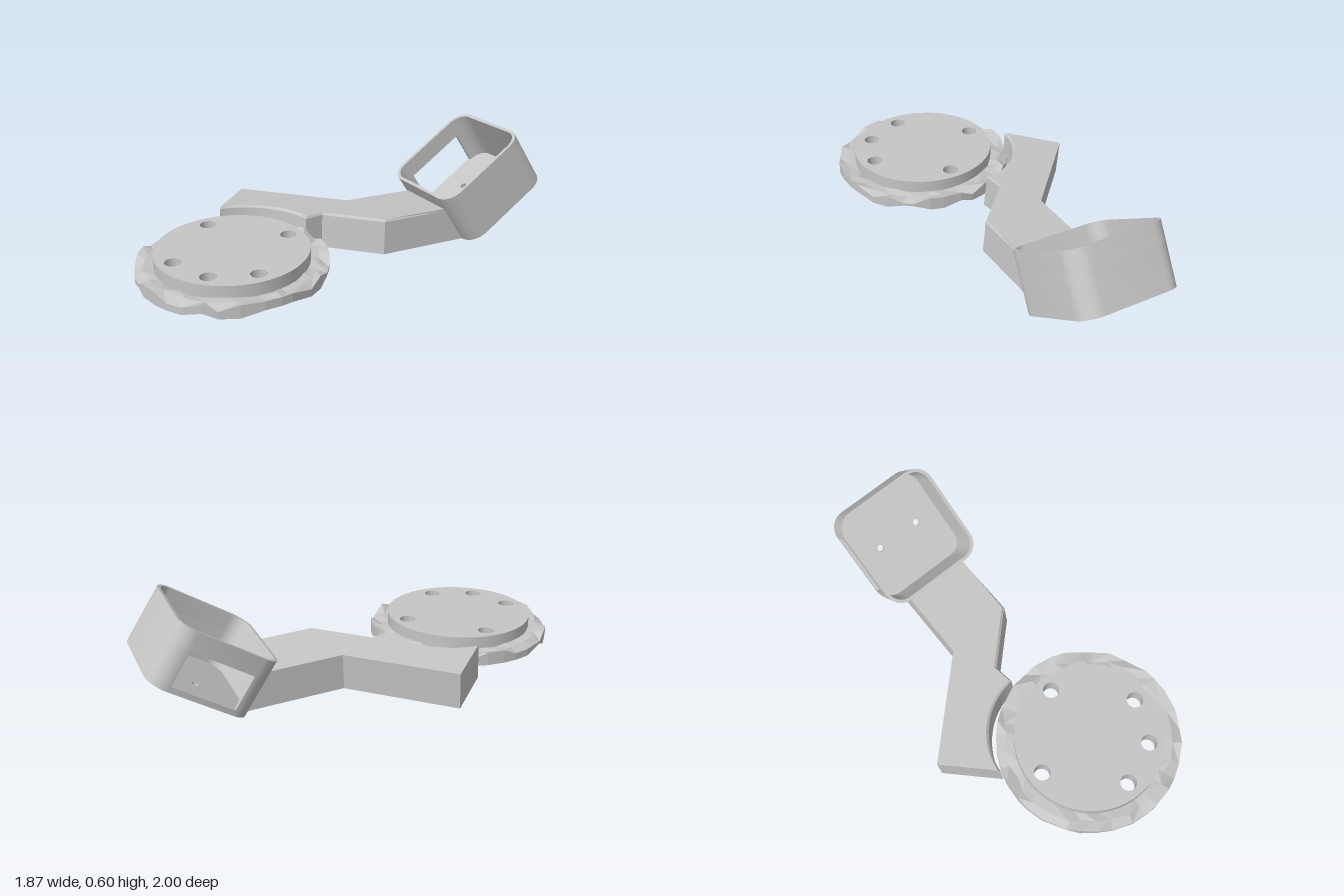
import * as THREE from 'three';
import { toCreasedNormals } from 'three/addons/utils/BufferGeometryUtils.js';

const H = 0.284, R = 0.1, WALL = 0.018, DEPTH = 0.325;

// Extrude a plan shape (x, -z) upwards from y0 to y1
function slab(shape, y0, y1) {
  const g = new THREE.ExtrudeGeometry(shape, { depth: y1 - y0, bevelEnabled: false, curveSegments: 32 });
  g.rotateX(-Math.PI / 2).translate(0, y0, 0);
  return g;
}

function circleHole(x, y, r) {
  return new THREE.Path().absarc(x, y, r, 0, Math.PI * 2, true);
}

// Rounded square, counterclockwise, starting and ending on the -x side
function roundedPoints(h, r) {
  const pts = [], n = 8;
  [[-1, -1], [1, -1], [1, 1], [-1, 1]].forEach(([sx, sy], k) => {
    for (let i = 0; i <= n; i++) {
      const a = Math.PI + (k + i / n) * Math.PI / 2;
      pts.push(new THREE.Vector2(sx * (h - r) + r * Math.cos(a), sy * (h - r) + r * Math.sin(a)));
    }
  });
  return pts;
}

// Ring with an irregular, chipped outer edge
function chippedRing() {
  const n = 34, pos = [], idx = [];
  const rnd = (i, s) => { const v = Math.sin(i * 12.9898 + s * 78.233) * 43758.5453; return v - Math.floor(v); };
  for (let i = 0; i < n; i++) {
    const a = ((i + 0.6 * (rnd(i, 5) - 0.5)) / n) * Math.PI * 2;
    const profile = [
      [0.385, 0.185 + 0.012 * rnd(i, 8)],
      [0.42 + 0.03 * rnd(i, 1), 0.18 + 0.025 * rnd(i, 2)],
      [0.484, rnd(i, 3) > 0.4 ? 0.204 : 0.172],
      [0.484, rnd(i, 4) > 0.4 ? 0.134 : 0.158],
      [0.42 + 0.03 * rnd(i, 6), 0.134 + 0.02 * rnd(i, 7)],
      [0.395, 0.138],
      [0.388, 0.165],
    ];
    const m = profile.length;
    for (const [r, y] of profile) pos.push(r * Math.cos(a), y, r * Math.sin(a));
    for (let j = 0; j < m - 1; j++) {
      const p = i * m + j, q = ((i + 1) % n) * m + j;
      if (rnd(i, j + 9) > 0.5) idx.push(p, q, q + 1, p, q + 1, p + 1);
      else idx.push(p, q, p + 1, q, q + 1, p + 1);
    }
  }
  let g = new THREE.BufferGeometry();
  g.setAttribute('position', new THREE.Float32BufferAttribute(pos, 3));
  g.setIndex(idx);
  g = g.toNonIndexed();
  g.computeVertexNormals();
  return g;
}

export function createModel() {
  const model = new THREE.Group();
  model.name = 'bracket';
  const grey = new THREE.MeshStandardMaterial({ color: 0xc5c5c5 });
  grey.name = 'lightGrey';
  const add = (parent, name, geo, crease = true) => {
    const m = new THREE.Mesh(crease ? toCreasedNormals(geo, 0.5) : geo, grey);
    m.name = name;
    parent.add(m);
  };

  // Mounting disc with five through holes
  const plate = new THREE.Group();
  plate.name = 'mountingPlate';
  plate.position.set(-0.452, 0, 0.515);
  model.add(plate);
  const disc = new THREE.Shape().absarc(0, 0, 0.39, 0, Math.PI * 2, false);
  for (const [x, z] of [[-0.22, -0.222], [0.22, -0.222], [-0.22, 0.218], [0.22, 0.218], [0, 0.308]])
    disc.holes.push(circleHole(x, -z, 0.042));
  add(plate, 'disc', slab(disc, 0.152, 0.255));
  add(plate, 'chippedRim', chippedRing(), false);

  // Arm and holder lean slightly down towards the back
  const lean = new THREE.Group();
  lean.name = 'armAssembly';
  lean.rotation.x = -0.087;
  model.add(lean);

  // Arm: straight part with a concave recess, then a diagonal part
  const end = (p, d = 0.66) => [(d + p) * Math.SQRT1_2, (d - p) * Math.SQRT1_2];
  const arm = new THREE.Shape();
  arm.moveTo(-0.69, 0.226);
  arm.lineTo(-0.69, -0.102);
  const arcR = 0.378, half = Math.asin(0.243 / arcR);
  arm.absarc(-0.447, -0.014 - arcR, arcR, Math.PI / 2 + half, Math.PI / 2 - half, true);
  arm.lineTo(-0.14, -0.015);
  arm.lineTo(0.205, -0.015);
  arm.lineTo(...end(0.15));
  arm.lineTo(...end(-0.207));
  arm.lineTo(-0.07, 0.226);
  // Main body, then a thin top layer whose front edge is chamfered
  for (const [name, y0, y1] of [['armBody', 0.058, 0.24], ['armTop', 0.24, 0.252]]) {
    const geo = slab(arm, y0, y1);
    const pos = geo.attributes.position;
    for (let i = 0; i < pos.count; i++) {
      const x = pos.getX(i), y = pos.getY(i), z = pos.getZ(i);
      if ((x - z) * Math.SQRT1_2 > 0.6) {
        // Slant the far end to follow the holder wall
        const s = (y - 0.058) * 0.7 * Math.SQRT1_2;
        pos.setXYZ(i, x - s, y, z + s);
      } else if (y > 0.25 && z > 0) pos.setZ(i, z - 0.012);
    }
    geo.computeVertexNormals();
    add(lean, name, geo);
  }

  // Holder: open rounded square cup, origin at the centre of its mouth
  const holder = new THREE.Group();
  holder.name = 'holder';
  holder.position.set(0.474, 0.487, -0.511);
  holder.rotation.set(THREE.MathUtils.degToRad(35), -Math.PI / 4, 0, 'YXZ');
  lean.add(holder);
  const outer = roundedPoints(H, R), inner = roundedPoints(H - WALL, R - WALL);

  const floor = new THREE.Shape(outer);
  for (const s of [-1, 1]) floor.holes.push(circleHole(s * 0.125, 0, 0.018));
  add(holder, 'holderFloor', slab(floor, -DEPTH, -DEPTH + 0.03));

  // Wall band with a window gap on one side
  const w = 0.18, v = (x, y) => new THREE.Vector2(x, y);
  const band = new THREE.Shape([
    v(-H, w), v(-H + WALL, w), ...[...inner].reverse(), v(-H + WALL, -w), v(-H, -w), ...outer,
  ].filter((p, i, a) => i === 0 || p.distanceTo(a[i - 1]) > 1e-4));
  add(holder, 'holderWindowWall', slab(band, -DEPTH + 0.03, -0.1));

  const rim = new THREE.Shape(outer);
  rim.holes.push(new THREE.Path(inner));
  add(holder, 'holderRim', slab(rim, -0.1, 0));

  return model;
}
